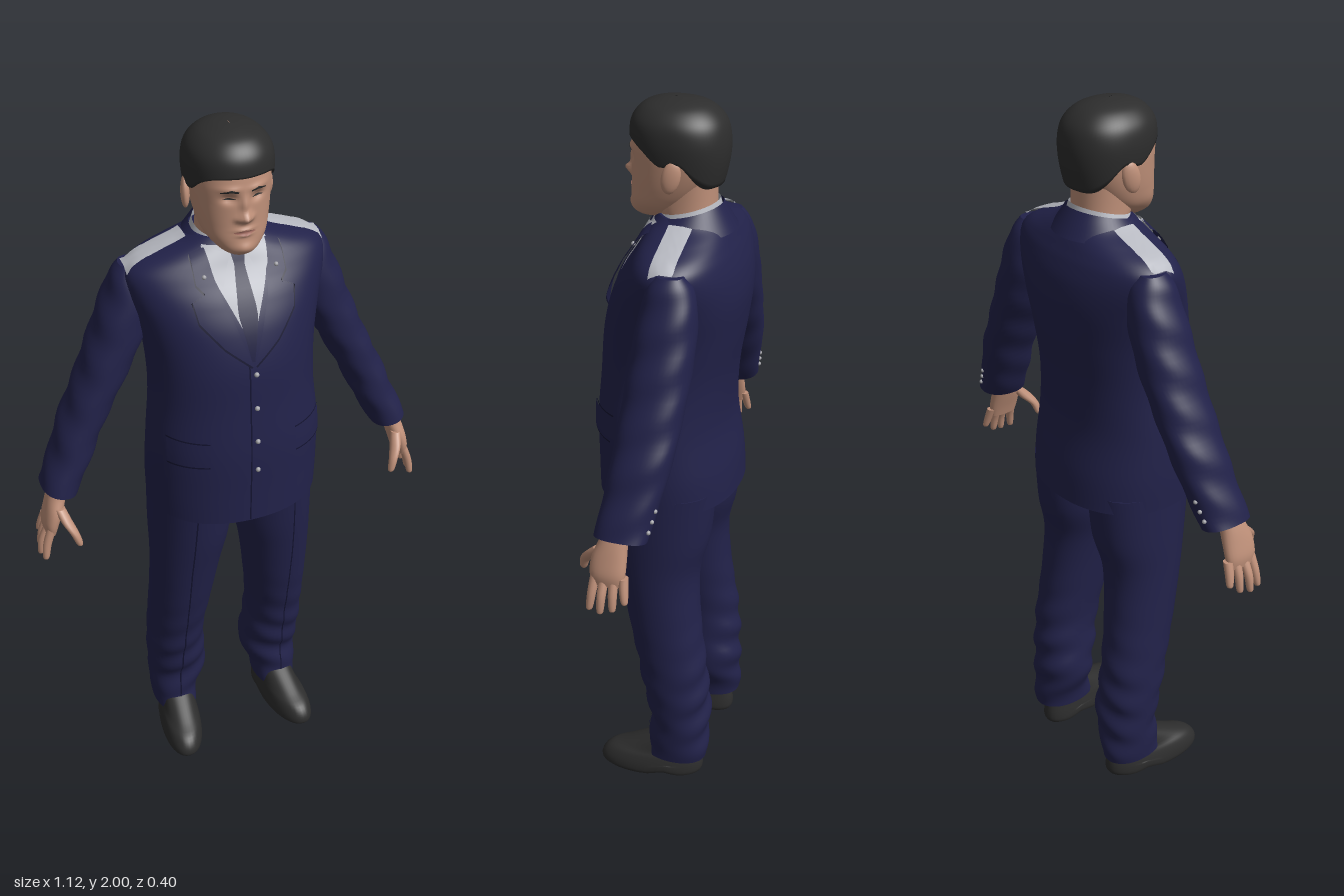
import * as THREE from 'three';
import { mergeVertices, mergeGeometries } from 'three/addons/utils/BufferGeometryUtils.js';

const mat = (name, color) => Object.assign(new THREE.MeshStandardMaterial({ color, side: THREE.DoubleSide }), { name });

// Grid surface from f(u, v) => [x, y, z]
function surf(f, nu, nv) {
  const pos = [], idx = [];
  for (let j = 0; j <= nv; j++) for (let i = 0; i <= nu; i++) pos.push(...f(i / nu, j / nv));
  for (let j = 0; j < nv; j++) for (let i = 0; i < nu; i++) {
    const a = j * (nu + 1) + i, b = a + 1, c = b + nu + 1, d = a + nu + 1;
    idx.push(a, b, c, a, c, d);
  }
  let g = new THREE.BufferGeometry();
  g.setAttribute('position', new THREE.Float32BufferAttribute(pos, 3));
  g.setIndex(idx);
  g = mergeVertices(g, 1e-5);
  g.computeVertexNormals();
  return g;
}

// Smoothly interpolated ring [y, centreX, radiusX, zFront, zBack, tilt]
function ringAt(rings, v) {
  const n = rings.length - 1, t = Math.min(Math.max(v, 0), 1) * n, i = Math.min(Math.floor(t), n - 1), k = t - i;
  const p = j => rings[Math.min(Math.max(j, 0), n)];
  return p(i).map((b, m) => {
    const a = p(i - 1)[m], c = p(i + 1)[m], d = p(i + 2)[m];
    return b + 0.5 * k * (c - a + k * (2 * a - 5 * b + 4 * c - d + k * (3 * (b - c) + d - a)));
  });
}
function ringAtY(rings, y) {
  let lo = 0, hi = 1;
  for (let i = 0; i < 24; i++) { const m = (lo + hi) / 2; if (ringAt(rings, m)[0] < y) lo = m; else hi = m; }
  return ringAt(rings, lo);
}
function ringPoint([y, cx, rx, zf, zb, tilt = 0], a, p) {
  const se = q => Math.sign(q) * Math.abs(q) ** (2 / p);
  const mid = (zf + zb) / 2, dx = rx * se(Math.sin(a));
  return [cx + dx, y + tilt * dx, mid + (zf - zb) / 2 * se(Math.cos(a))];
}
// Capped body through a stack of rings, lowest first
function loft(rings, { p = 2.2, nu = 40, nv = 40, warp = q => q } = {}) {
  const at = (u, v) => warp(ringPoint(ringAt(rings, v), u * Math.PI * 2, p));
  const cap = (v, up) => surf((u, w) => {
    const r = ringAt(rings, v), c = warp([r[1], r[0], (r[3] + r[4]) / 2]), e = at(u, v), k = up ? w : 1 - w;
    return e.map((q, i) => q + (c[i] - q) * k);
  }, nu, 2);
  return mergeGeometries([surf(at, nu, nv), cap(0, false), cap(1, true)]);
}
// Height of the front surface of a ring stack
const frontOf = (rings, p) => (x, y) => {
  const [, cx, rx, zf, zb] = ringAtY(rings, y);
  return (zf + zb) / 2 + (zf - zb) / 2 * Math.max(0, 1 - Math.abs((x - cx) / rx) ** p) ** (1 / p);
};
// Thin panel laid on a surface between two outlines of [x, y]
function patch(zOf, L, R, off, nu = 8, nv = 16) {
  const at = (P, v) => {
    const t = v * (P.length - 1), i = Math.min(Math.floor(t), P.length - 2), k = t - i;
    return P[i].map((q, m) => q + (P[i + 1][m] - q) * k);
  };
  return surf((u, v) => {
    const a = at(L, v), b = at(R, v), x = a[0] + (b[0] - a[0]) * u, y = a[1] + (b[1] - a[1]) * u;
    return [x, y, zOf(x, y) + off];
  }, nu, nv);
}
const seam = (zOf, pts, dx, dy, off) => patch(zOf, pts, pts.map(([x, y]) => [x + dx, y + dy]), off, 1, 24);

const TORSO = [[.93, 0, .236, .2, -.185], [1.02, 0, .238, .2, -.178], [1.15, 0, .234, .2, -.158], [1.28, 0, .222, .19, -.163],
  [1.4, 0, .225, .18, -.182], [1.5, 0, .243, .155, -.193], [1.57, 0, .262, .122, -.187], [1.62, 0, .266, .09, -.172],
  [1.65, 0, .238, .072, -.158], [1.675, 0, .175, .06, -.145], [1.695, 0, .12, .05, -.132], [1.712, 0, .09, .04, -.12]];
const ARM = [[1.02, .485, .048, .05, -.09, .25], [1.1, .445, .053, .04, -.105, .2], [1.2, .402, .058, .03, -.125, .1],
  [1.3, .352, .064, .025, -.135, 0], [1.42, .296, .071, .018, -.142, 0], [1.53, .258, .066, .008, -.14, 0],
  [1.6, .245, .049, -.01, -.125, 0], [1.635, .24, .028, -.03, -.1, 0]];
const LEG = [[.07, .165, .064, .042, -.15], [.12, .164, .07, .025, -.152], [.2, .15, .087, .018, -.152], [.3, .155, .086, .038, -.148],
  [.4, .157, .083, .056, -.14], [.55, .147, .09, .088, -.12], [.7, .135, .1, .115, -.112], [.82, .122, .113, .135, -.138], [.97, .118, .115, .15, -.15]];
const HEAD = [[1.695, 0, .03, .1, .02], [1.71, 0, .052, .115, -.01], [1.74, 0, .077, .116, -.05], [1.78, 0, .09, .113, -.085],
  [1.83, 0, .098, .112, -.112], [1.88, 0, .101, .112, -.122], [1.93, 0, .097, .1, -.122], [1.97, 0, .07, .068, -.09], [1.985, 0, .03, .03, -.05]];
const HAIR = [[1.76, 0, .078, .03, -.108], [1.8, 0, .096, .085, -.124], [1.86, 0, .108, .112, -.136], [1.91, 0, .111, .117, -.136],
  [1.95, 0, .102, .11, -.124], [1.98, 0, .075, .084, -.094], [1.995, 0, .038, .045, -.055], [2, 0, .001, .006, -.006]];

// Facial relief: nose, brow, eye sockets, lips, chin
const RELIEF = [[0, 1.804, .013, .013, .024], [0, 1.835, .009, .024, .012], [.017, 1.8, .008, .008, .007], [.036, 1.852, .017, .011, -.011],
  [.035, 1.877, .024, .008, .005], [0, 1.77, .022, .005, .006], [0, 1.757, .018, .005, .006], [0, 1.722, .022, .014, .007]];
const relief = (x, y) => RELIEF.reduce((s, [cx, cy, sx, sy, h]) =>
  s + h * Math.exp(-(((Math.abs(x) - cx) / sx) ** 2) - ((y - cy) / sy) ** 2), 0);

export function createModel() {
  const model = new THREE.Group();
  const navy = mat('navy cloth', 0x22224a), dark = mat('dark seam', 0x131330), tieBlue = mat('tie blue', 0x1b1b40);
  const skin = mat('skin', 0xbf9079), black = mat('black hair and leather', 0x2d2d2d), grey = mat('pale grey', 0xb8bac2);
  const metal = mat('button metal', 0xa3a3a8), lip = mat('lips', 0xa87064);
  const add = (name, geo, m) => {
    const mesh = new THREE.Mesh(geo, m);
    mesh.name = name;
    model.add(mesh);
  };
  const pair = (name, geo, m) => {
    const g = geo.clone().scale(-1, 1, 1), ix = g.index.array;
    for (let i = 0; i < ix.length; i += 3) [ix[i], ix[i + 1]] = [ix[i + 1], ix[i]];
    add(name + 'Left', geo, m);
    add(name + 'Right', g, m);
  };
  const chest = frontOf(TORSO, 2.2), face0 = frontOf(HEAD, 2.2), face = (x, y) => face0(x, y) + relief(x, y);

  // Jacket body and sleeves
  add('jacket', loft(TORSO, { nu: 64, nv: 66 }), navy);
  pair('sleeve', loft(ARM, { warp: ([x, y, z]) => [x + .003 * Math.sin(y * 60 + z * 25), y, z] }), navy);

  // Shirt front, tie, lapels
  add('shirtFront', patch(chest, [[-.082, 1.7], [-.066, 1.62], [-.03, 1.54], [-.004, 1.48]], [[.082, 1.7], [.066, 1.62], [.03, 1.54], [.004, 1.48]], .003, 16), grey);
  add('tie', patch(chest, [[-.02, 1.69], [-.013, 1.655], [-.026, 1.55], [-.004, 1.43]], [[.02, 1.69], [.013, 1.655], [.026, 1.55], [.004, 1.43]], .007), tieBlue);
  pair('shirtCollarPoint', patch(chest, [[.02, 1.685], [.036, 1.65], [.05, 1.615]], [[.085, 1.7], [.082, 1.66], [.054, 1.615]], .01), grey);
  const outer = [[.118, 1.685], [.118, 1.625], [.1, 1.605], [.134, 1.59], [.125, 1.54], [.07, 1.475], [.004, 1.42]];
  pair('lapel', patch(chest, [[.08, 1.698], [.072, 1.64], [.066, 1.61], [.057, 1.58], [.04, 1.535], [.022, 1.48], [0, 1.42]], outer, .012, 8, 48), navy);
  pair('lapelEdge', seam(chest, outer, .003, -.004, .012), dark);
  add('frontOpening', seam(chest, [[-.012, 1.42], [-.012, 1.2], [-.014, .935]], .004, 0, .003), dark);

  // Collars around the neck, higher at the back
  const collar = (from, r0, r1, yTop) => surf((u, v) => {
    const a = from + u * 2 * (Math.PI - from), back = (1 - Math.cos(a)) / 2, r = r0 + (r1 - r0) * v;
    return [r * Math.sin(a), 1.675 + (yTop + .04 * back - 1.675) * v, -.036 + r * .95 * Math.cos(a)];
  }, 40, 5);
  add('shirtCollar', collar(.2, .1, .08, 1.708), grey);
  add('jacketCollar', collar(.95, .128, .089, 1.7), navy);

  // Pocket flaps
  const flap = [[.12, 1.13], [.215, 1.125]];
  pair('pocketFlap', patch(chest, [flap[0], [.118, 1.198]], [flap[1], [.213, 1.198]], .009), navy);
  pair('pocketEdge', seam(chest, flap, 0, -.005, .008), dark);
  pair('pocketTop', seam(chest, [[.118, 1.198], [.213, 1.198]], 0, .004, .007), dark);

  // Buttons and lapel pins
  const ball = (x, y, z, r) => new THREE.SphereGeometry(r, 10, 8).translate(x, y, z);
  for (const y of [1.39, 1.29, 1.19, 1.1]) add('frontButton', ball(.008, y, chest(.008, y) + .001, .007), metal);
  pair('lapelPin', ball(.095, 1.64, chest(.095, 1.64) + .012, .006), metal);
  for (const y of [1.05, 1.075, 1.1]) {
    const r = ringAtY(ARM, y);
    pair('cuffButton', ball(r[1] + .015, y, r[4] + .002, .006), metal);
  }

  // Shoulder boards draped over the shoulders
  const inside = (rings, x, y, z) => {
    const [, cx, rx, zf, zb] = ringAtY(rings, y);
    return Math.abs((x - cx) / rx) ** 2.2 + Math.abs((2 * z - zf - zb) / (zf - zb)) ** 2.2 < 1;
  };
  const topY = (x, z) => {
    for (let y = 1.71; y > 1.5; y -= .001) if (inside(TORSO, x, y, z) || (y < 1.634 && inside(ARM, x, y, z))) return y;
    return 1.5;
  };
  pair('shoulderBoard', surf((u, v) => {
    const x = .108 + .155 * u, z = -.015 - .062 * v;
    return [x, topY(x, z) + .008, z];
  }, 12, 8), grey);

  // Trousers with pressed creases
  const fold = ([x, y, z]) => [x, y, z + .006 * Math.sin(y * 62 + x * 25) * Math.exp(-(((y - .25) / .2) ** 2))];
  pair('trouserLeg', loft(LEG, { p: 2.1, nv: 60, warp: fold }), navy);
  const legFront = (x, y) => fold([x, y, frontOf(LEG, 2.1)(x, y)])[2];
  pair('trouserCrease', seam(legFront, [[.165, .12], [.155, .4], [.15, .7], [.14, .92]], .004, 0, .003), dark);

  // Shoes, toes turned out, arch lifted in front of the heel
  pair('shoe', loft([[0, .168, .058, .155, -.128], [.012, .168, .062, .168, -.134], [.035, .168, .061, .166, -.134], [.06, .167, .056, .145, -.13],
    [.08, .165, .05, .1, -.125], [.12, .165, .044, .02, -.115]], {
    nv: 20, warp: ([x, y, z]) => [x + z * .12, y + (y < .03 ? .012 * Math.exp(-(((z + .03) / .03) ** 2)) : 0), z]
  }), black);

  // Hands
  pair('palm', loft([[.9, .522, .016, .046, -.038], [.93, .518, .022, .052, -.043], [.97, .506, .025, .05, -.043],
    [1.01, .493, .026, .035, -.042], [1.05, .478, .025, .028, -.045]], { nu: 24, nv: 16 }), skin);
  [.828, .826, .834, .858].forEach((tip, i) => {
    const z = .036 - .025 * i, z2 = z + .006 * (1.5 - i), x = .552 - .006 * Math.abs(i - 1), h = .925 - tip;
    const ring = (y, cx, r, c) => [y, cx, r, c + r, c - r];
    pair('finger', loft([ring(tip, x, .002, z2), ring(tip + .006, x, .009, z2), ring(tip + h * .5, x - .008, .012, (z + z2) / 2),
      ring(.925, .52, .013, z)], { nu: 12, nv: 12, p: 2 }), skin);
  });
  pair('thumb', loft([[.888, .46, .002, .094, .09], [.895, .461, .009, .102, .083], [.925, .47, .012, .098, .07],
    [.955, .485, .015, .08, .04], [.985, .495, .014, .05, .02]], { nu: 12, nv: 14, p: 2 }), skin);

  // Neck and head
  add('neck', loft([[1.64, 0, .08, .03, -.11], [1.7, 0, .075, .035, -.107], [1.74, 0, .074, .05, -.105], [1.82, 0, .076, .04, -.105]], { nv: 12 }), skin);
  add('head', loft(HEAD, {
    nu: 96, nv: 90, warp: ([x, y, z]) => [x, y, z + relief(x, y) * Math.min(1, Math.max(0, (z - .03) / .04))]
  }), skin);
  pair('ear', new THREE.SphereGeometry(1, 16, 12).scale(.012, .042, .024).rotateX(-.2).rotateY(.3).translate(.105, 1.828, -.02), skin);
  pair('eyebrow', patch(face, [[.016, 1.869], [.035, 1.873], [.058, 1.868]], [[.016, 1.874], [.035, 1.88], [.058, 1.871]], .002, 3), black);
  pair('eye', patch(face, [[.021, 1.85], [.036, 1.848], [.051, 1.85]], [[.021, 1.851], [.036, 1.854], [.051, 1.851]], .001, 3), black);
  add('mouth', patch(face, [[-.028, 1.763], [0, 1.755], [.028, 1.763]], [[-.028, 1.765], [0, 1.772], [.028, 1.765]], .001, 4), lip);

  // Hair with a shaped hairline: high forehead, sideburn, nape
  const LINE = [[1.902], [1.902], [1.897], [1.878], [1.845], [1.855], [1.815], [1.79], [1.782], [1.78]];
  add('hair', surf((u, v) => {
    const a = u * Math.PI * 2, low = ringAt(LINE, 1 - Math.abs(1 - 2 * u))[0];
    const y = v < .03 ? low : low + (2 - low) * Math.sin((v - .03) / .97 * Math.PI / 2);
    const q = ringPoint(ringAtY(HAIR, y), a, 2.15), k = v < .03 ? .86 : 1;
    return [q[0] * k, q[1], q[2] * k];
  }, 72, 34), black);

  return model;
}
